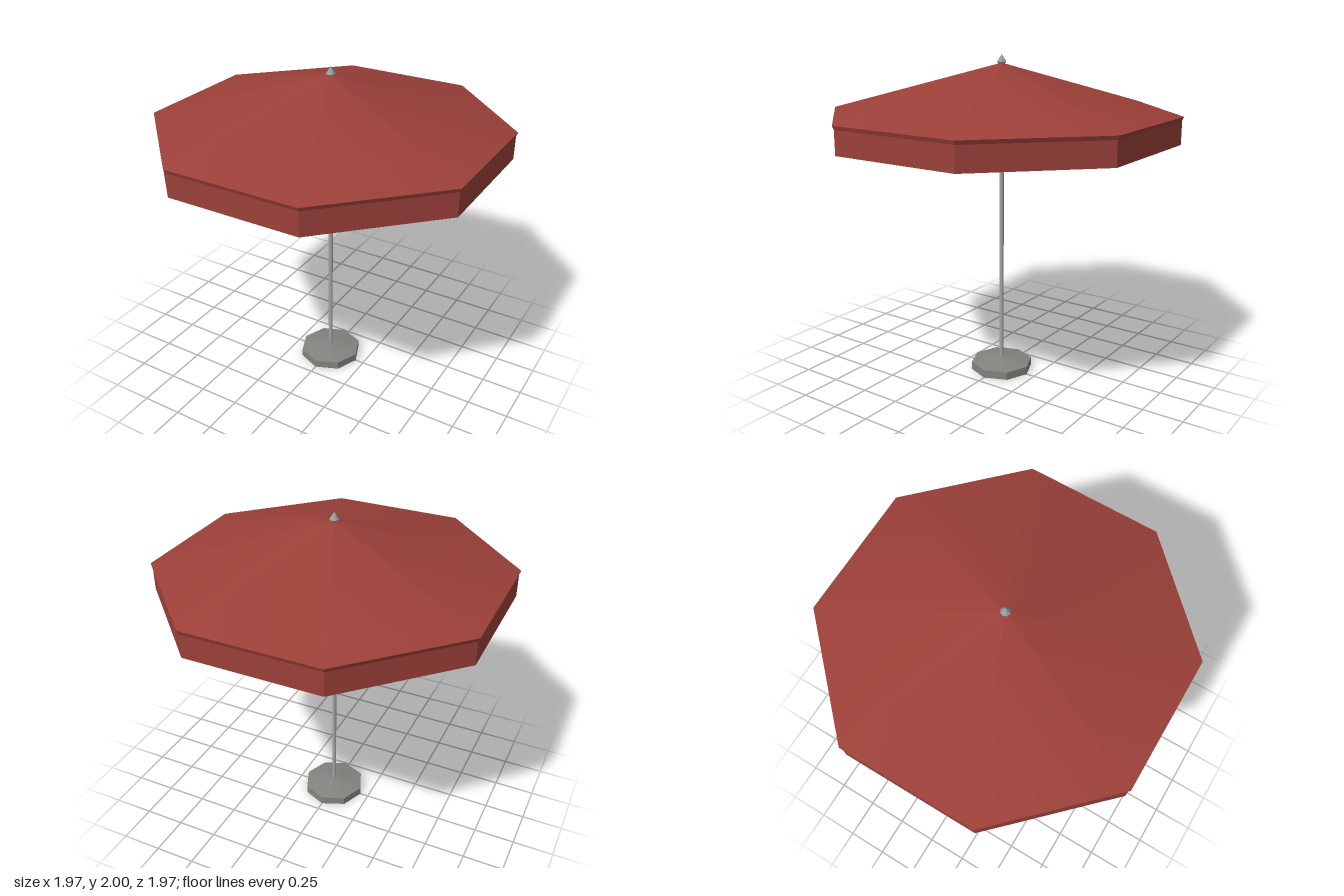
import * as THREE from 'three';

export function createModel() {
  const group = new THREE.Group();
  const paint = (name, color) => {
    const m = new THREE.MeshStandardMaterial({ color });
    m.name = name;
    return m;
  };
  const red = paint('red canvas', 0x9c4039);
  const stone = paint('grey stone', 0x85837f);
  const steel = paint('pale steel', 0xa3a6a5);
  const finialMetal = paint('blue grey metal', 0x93a0a3);

  const APOTHEM = Math.cos(Math.PI / 8);
  const HALF = Math.PI / 8; // puts a flat side towards the front

  // Stacked eight-sided section between two heights
  function section(name, rTop, rBottom, y0, y1, mat, { turn = 0, open = true, flat = true } = {}) {
    let geo = new THREE.CylinderGeometry(rTop, rBottom, y1 - y0, 8, 1, open);
    geo.rotateY(turn);
    geo.translate(0, (y0 + y1) / 2, 0);
    if (flat) {
      geo = geo.toNonIndexed();
      geo.computeVertexNormals();
    }
    const mesh = new THREE.Mesh(geo, mat);
    mesh.name = name;
    group.add(mesh);
  }

  // Weighted foot: straight rim under a shallow cone
  section('baseRim', 0.195, 0.195, 0, 0.05, stone, { open: false });
  section('baseTop', 0.035, 0.195, 0.05, 0.08, stone, { open: false, flat: false });

  // Pole
  section('pole', 0.0135, 0.0135, 0.07, 1.94, steel, { flat: false });

  // Canopy: softly shaded roof, inward-sloping lip and closed valance
  const brim = 0.985 / APOTHEM;
  const skirt = 0.976 / APOTHEM;
  section('canopyRoof', 0.004, brim, 1.663, 1.95, red, { turn: HALF, flat: false });
  section('canopyLip', brim, skirt, 1.64, 1.663, red, { turn: HALF });
  section('canopyValance', skirt, skirt, 1.5, 1.64, red, { turn: HALF, open: false });

  // Finial: pointed cap over a short flared collar
  section('finialCollar', 0.028, 0.016, 1.94, 1.957, finialMetal);
  section('finialTip', 0.001, 0.028, 1.957, 2, finialMetal);

  return group;
}
